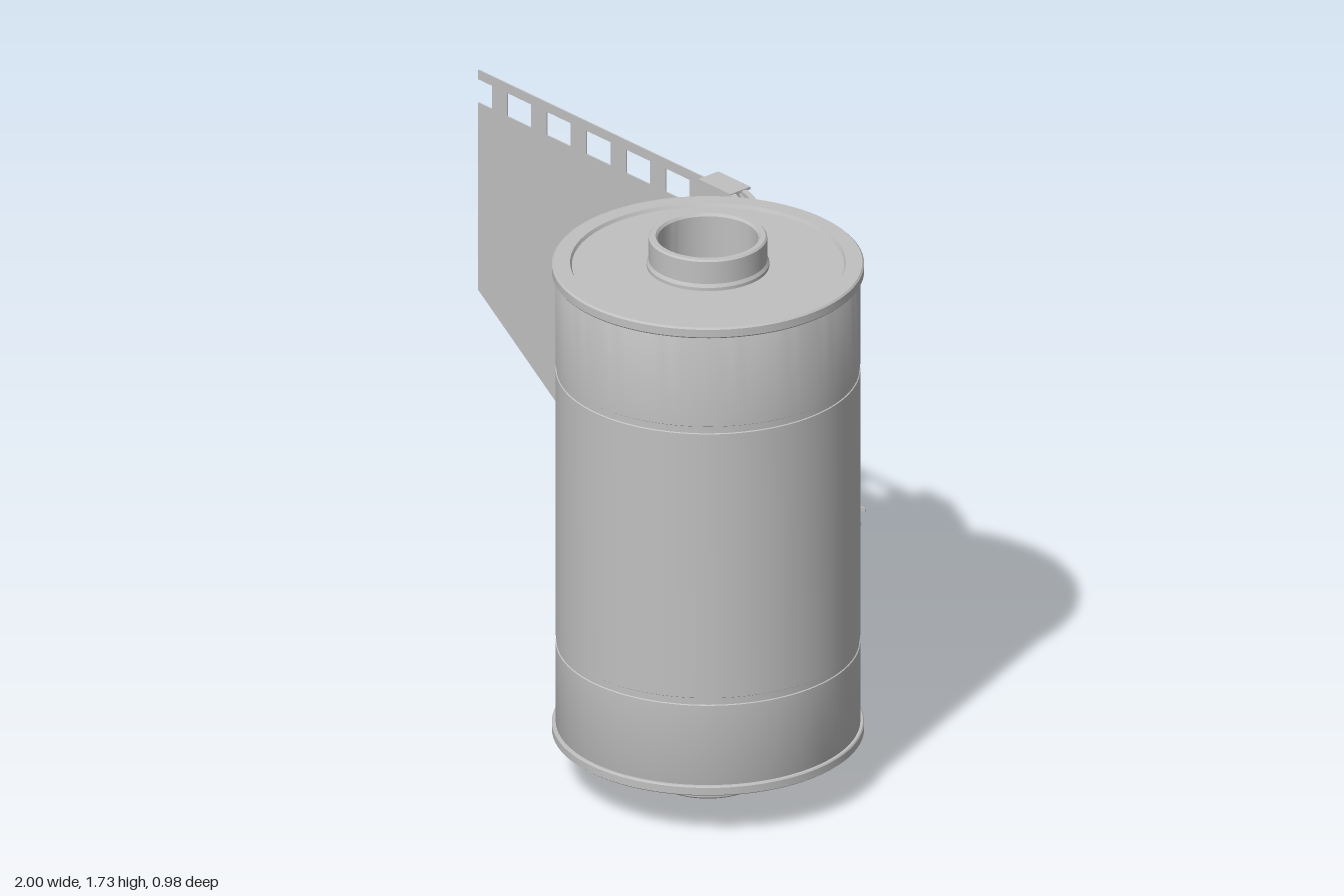
import * as THREE from 'three';
import { toCreasedNormals } from 'three/addons/utils/BufferGeometryUtils.js';

const CX = 0.545, CZ = 0.035; // axis of the can
const FILM_Z = -0.455;

export function createModel() {
  const model = new THREE.Group();
  model.name = 'filmCanister';
  const grey = new THREE.MeshStandardMaterial({ color: 0xc0c0c0 });
  grey.name = 'grey';

  const add = (name, geometry, x = 0, y = 0, z = 0) => {
    const mesh = new THREE.Mesh(geometry, grey);
    mesh.name = name;
    mesh.position.set(x, y, z);
    model.add(mesh);
    return mesh;
  };
  const box = (name, x0, x1, y0, y1, z0, z1) =>
    add(name, new THREE.BoxGeometry(x1 - x0, y1 - y0, z1 - z0),
      (x0 + x1) / 2, (y0 + y1) / 2, (z0 + z1) / 2);
  const lathe = (name, profile) =>
    add(name, toCreasedNormals(new THREE.LatheGeometry(
      profile.map(([r, y]) => new THREE.Vector2(r, y)), 96), 0.5), CX, 0, CZ);

  // Can shell with shallow grooves
  lathe('canBody', [
    [0.438, 0.16], [0.442, 0.17], [0.442, 0.43], [0.439, 0.432], [0.439, 0.453], [0.442, 0.455],
    [0.442, 1.3], [0.439, 1.302], [0.439, 1.323], [0.442, 1.325], [0.442, 1.62], [0.438, 1.63],
  ]);

  // End caps with a raised rim around a recessed disc
  lathe('topCap', [
    [0.44, 1.612], [0.45, 1.612], [0.453, 1.616], [0.453, 1.64], [0.448, 1.645],
    [0.4, 1.645], [0.395, 1.635], [0.165, 1.635],
  ]);
  lathe('bottomCap', [
    [0.16, 0.157], [0.405, 0.157], [0.41, 0.145], [0.448, 0.145],
    [0.453, 0.149], [0.453, 0.172], [0.45, 0.176], [0.44, 0.176],
  ]);

  // Hollow spool, open at both ends
  lathe('spool', [
    [0.1, 0], [0.16, 0], [0.165, 0.005], [0.165, 0.056], [0.17, 0.06], [0.17, 0.17],
    [0.178, 1.62], [0.178, 1.645], [0.172, 1.655], [0.172, 1.725], [0.167, 1.73],
    [0.152, 1.73], [0.146, 1.722], [0.146, 1.55], [0.1, 1.55], [0.1, 0],
  ]);
  box('spoolBar', CX - 0.02, CX + 0.02, 1.45, 1.555, CZ - 0.146, CZ + 0.146);

  // Film leader with trimmed corner and sprocket holes
  const outline = [
    [0.14, 0.3], [0.14, 1.565], [-1, 1.565], [-1, 1.535], [-0.94, 1.535], [-0.94, 1.46], [-1, 1.46],
    [-1, 0.86], [-0.36, 0.405], [-0.25, 0.405], [-0.25, 0.332], [-0.2, 0.3],
  ];
  const film = new THREE.Shape(outline.map(([x, y]) => new THREE.Vector2(x, y)));
  const punch = (x, y) => film.holes.push(new THREE.Path([
    new THREE.Vector2(x, y), new THREE.Vector2(x, y + 0.075),
    new THREE.Vector2(x + 0.105, y + 0.075), new THREE.Vector2(x + 0.105, y),
  ]));
  for (let i = -4; i <= 1; i++) punch(-0.185 + i * 0.1725, 1.46);
  for (let i = 0; i <= 1; i++) punch(-0.185 + i * 0.1725, 0.33);
  add('filmLeader', new THREE.ExtrudeGeometry(film, { depth: 0.004, bevelEnabled: false }),
    0, 0, FILM_Z - 0.002);

  // Curved upright strip following a path in plan
  const strip = (name, path, thickness, y0, y1) => {
    const curve = new THREE.QuadraticBezierCurve(
      ...path.map(([x, z]) => new THREE.Vector2(x, -z)));
    const sideA = [], sideB = [];
    for (let i = 0; i <= 16; i++) {
      const p = curve.getPoint(i / 16), t = curve.getTangent(i / 16);
      const n = new THREE.Vector2(-t.y, t.x).multiplyScalar(thickness / 2);
      sideA.push(p.clone().add(n));
      sideB.unshift(p.clone().sub(n));
    }
    const geometry = new THREE.ExtrudeGeometry(new THREE.Shape([...sideA, ...sideB]),
      { depth: y1 - y0, bevelEnabled: false });
    geometry.rotateX(-Math.PI / 2);
    add(name, toCreasedNormals(geometry, 0.5), 0, y0, 0);
  };
  strip('outerLip', [[0.13, -0.468], [0.21, -0.46], [0.345, -0.355]], 0.018, 0.29, 1.575);
  strip('filmInSlot', [[0.13, FILM_Z], [0.2, -0.445], [0.32, -0.34]], 0.004, 0.3, 1.565);
  strip('innerLip', [[0.13, -0.425], [0.18, -0.42], [0.3, -0.325]], 0.018, 0.29, 1.575);

  // Light trap pads either side of the film
  box('outerTrapPad', 0, 0.14, 0.29, 1.572, -0.48, -0.46);
  box('innerTrapPad', 0, 0.14, 0.29, 1.572, -0.45, -0.415);
  for (const y of [0.284, 1.57]) box('trapEnd', 0, 0.14, y, y + 0.008, -0.493, -0.415);

  // Label wrapped on the back of the can, ending at the slot
  const from = Math.atan2(0.265, -0.355), to = Math.PI + 0.5;
  const label = new THREE.LatheGeometry([
    [0.44, 0.53], [0.445, 0.53], [0.445, 1.22], [0.44, 1.22],
  ].map(([r, y]) => new THREE.Vector2(r, y)), 32, from, to - from);
  add('label', toCreasedNormals(label, 0.5), CX, 0, CZ);

  // Printed lines behind the label
  [[0.445, 0.71, 0.76], [0.47, 0.69, 0.71], [0.49, 0.65, 0.66]].forEach(([x0, x1, y]) =>
    box('printedLine', x0, x1, y - 0.006, y + 0.006, -0.432, -0.428));

  return model;
}
